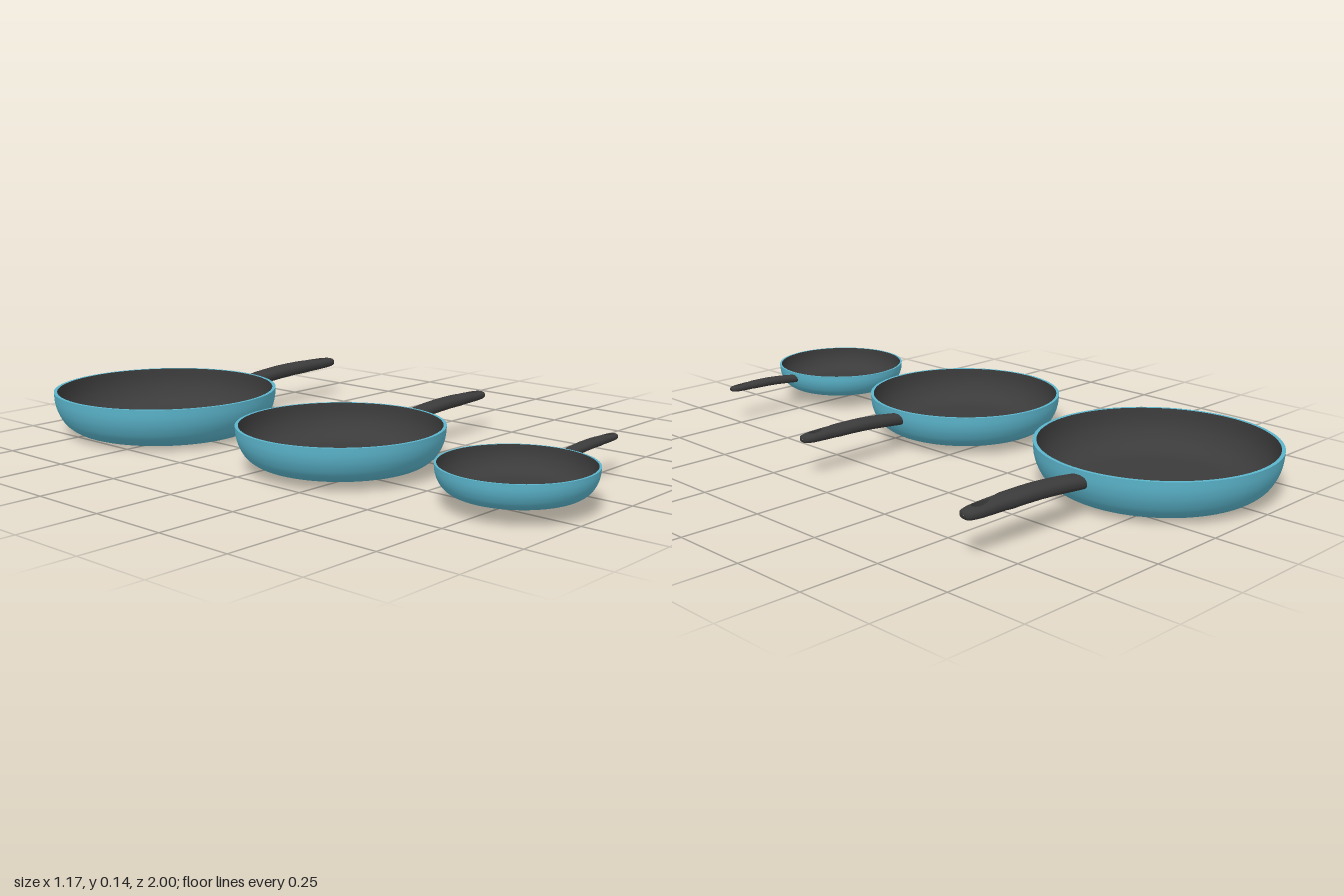
import * as THREE from 'three';

const teal = new THREE.MeshStandardMaterial({ color: 0x5bb5cc });
const dark = new THREE.MeshStandardMaterial({ color: 0x3b3b3b });

const v2 = (p) => new THREE.Vector2(p[0], p[1]);
const lathe = (pts) => new THREE.LatheGeometry(pts, 96);

// Half-section of the pan body, smoothed from a few points after the flat base
function bowl(points, steps) {
  const curve = new THREE.SplineCurve(points.map(v2));
  return [new THREE.Vector2(0, points[0][1]), ...curve.getPoints(steps)];
}

// Handle stations: x, centre height, half height, half width, half width of the hanging hole
const stations = [
  [0.353, 0.102, 0.021, 0.033, 0],
  [0.39, 0.106, 0.0215, 0.034, 0],
  [0.43, 0.1105, 0.022, 0.0345, 0],
  [0.48, 0.115, 0.022, 0.0345, 0],
  [0.53, 0.1185, 0.022, 0.0345, 0],
  [0.59, 0.1205, 0.0215, 0.0345, 0],
  [0.65, 0.121, 0.021, 0.0345, 0],
  [0.668, 0.121, 0.02, 0.0305, 0],
  [0.708, 0.121, 0.0195, 0.03, 0],
  [0.718, 0.121, 0.019, 0.03, 0.006],
  [0.73, 0.121, 0.0185, 0.0298, 0.0105],
  [0.748, 0.121, 0.018, 0.0293, 0.0135],
  [0.76, 0.121, 0.0175, 0.0287, 0.013],
  [0.768, 0.121, 0.017, 0.028, 0.009],
  [0.772, 0.121, 0.0165, 0.0275, 0],
  [0.785, 0.121, 0.0155, 0.0255, 0],
  [0.796, 0.121, 0.0135, 0.0215, 0],
  [0.802, 0.121, 0.0095, 0.015, 0],
  [0.804, 0.121, 0.001, 0.001, 0],
];
const FULL = 0.85; // below 1 makes the section fuller than an ellipse

// Surface through rows of equal length; side -1 mirrors it across z
function skin(rows, side) {
  const n = rows[0].length;
  const pos = [], idx = [];
  rows.forEach((row) => row.forEach(([x, y, z]) => pos.push(x, y, z * side)));
  for (let i = 0; i < rows.length - 1; i++) {
    for (let j = 0; j < n - 1; j++) {
      const a = i * n + j, b = a + n, c = a + 1, d = b + 1;
      if (side > 0) idx.push(a, c, b, b, c, d);
      else idx.push(a, b, c, b, d, c);
    }
  }
  const g = new THREE.BufferGeometry();
  g.setAttribute('position', new THREE.Float32BufferAttribute(pos, 3));
  g.setIndex(idx);
  g.computeVertexNormals();
  return g;
}

// Outer arc of one half of the handle, from the hole edge over the side and under
function arc([x, c, h, w, hole]) {
  const start = Math.asin(Math.pow(hole / w, 1 / FULL));
  const row = [];
  for (let j = 0; j <= 18; j++) {
    const a = start + (Math.PI - 2 * start) * (j / 18);
    const s = Math.max(0, Math.sin(a)), k = Math.cos(a);
    row.push([x, c + h * Math.sign(k) * Math.pow(Math.abs(k), FULL), w * Math.pow(s, FULL)]);
  }
  return row;
}

function mesh(name, geometry, material) {
  const m = new THREE.Mesh(geometry, material);
  m.name = name;
  return m;
}

function makeHandle() {
  const handle = new THREE.Group();
  handle.name = 'handle';
  const arcs = stations.map(arc);
  // Walls of the hanging hole join the lower and upper edges
  const walls = arcs.slice(8, 15).map((r) => [r[r.length - 1], r[0]]);
  for (const side of [1, -1]) {
    const label = side > 0 ? 'front' : 'back';
    handle.add(mesh(label + 'HandleHalf', skin(arcs, side), dark));
    handle.add(mesh(label + 'HoleWall', skin(walls, side), dark));
  }
  return handle;
}

function makePan(name) {
  const pan = new THREE.Group();
  pan.name = name;
  const outer = bowl([[0.24, 0], [0.268, 0.003], [0.3, 0.014], [0.33, 0.037],
    [0.35, 0.07], [0.36, 0.103], [0.363, 0.138]], 36);
  const inner = bowl([[0.235, 0.01], [0.263, 0.013], [0.293, 0.023], [0.321, 0.045],
    [0.34, 0.075], [0.349, 0.105], [0.352, 0.138]], 36).reverse();
  pan.add(mesh('outerShell', lathe(outer), teal));
  pan.add(mesh('rim', lathe([[0.363, 0.138], [0.352, 0.138]].map(v2)), teal));
  pan.add(mesh('innerCoating', lathe(inner), dark));
  pan.add(makeHandle());
  return pan;
}

export function createModel() {
  const model = new THREE.Group();
  model.name = 'fryingPanSet';
  // name, scale, base height, z
  const pans = [
    ['largePan', 1, 0, -0.637],
    ['mediumPan', 0.855, 0.016, 0.15],
    ['smallPan', 0.605, 0.039, 0.78],
  ];
  for (const [name, scale, y, z] of pans) {
    const pan = makePan(name);
    pan.scale.setScalar(scale);
    pan.position.set(-0.222, y, z);
    model.add(pan);
  }
  return model;
}
